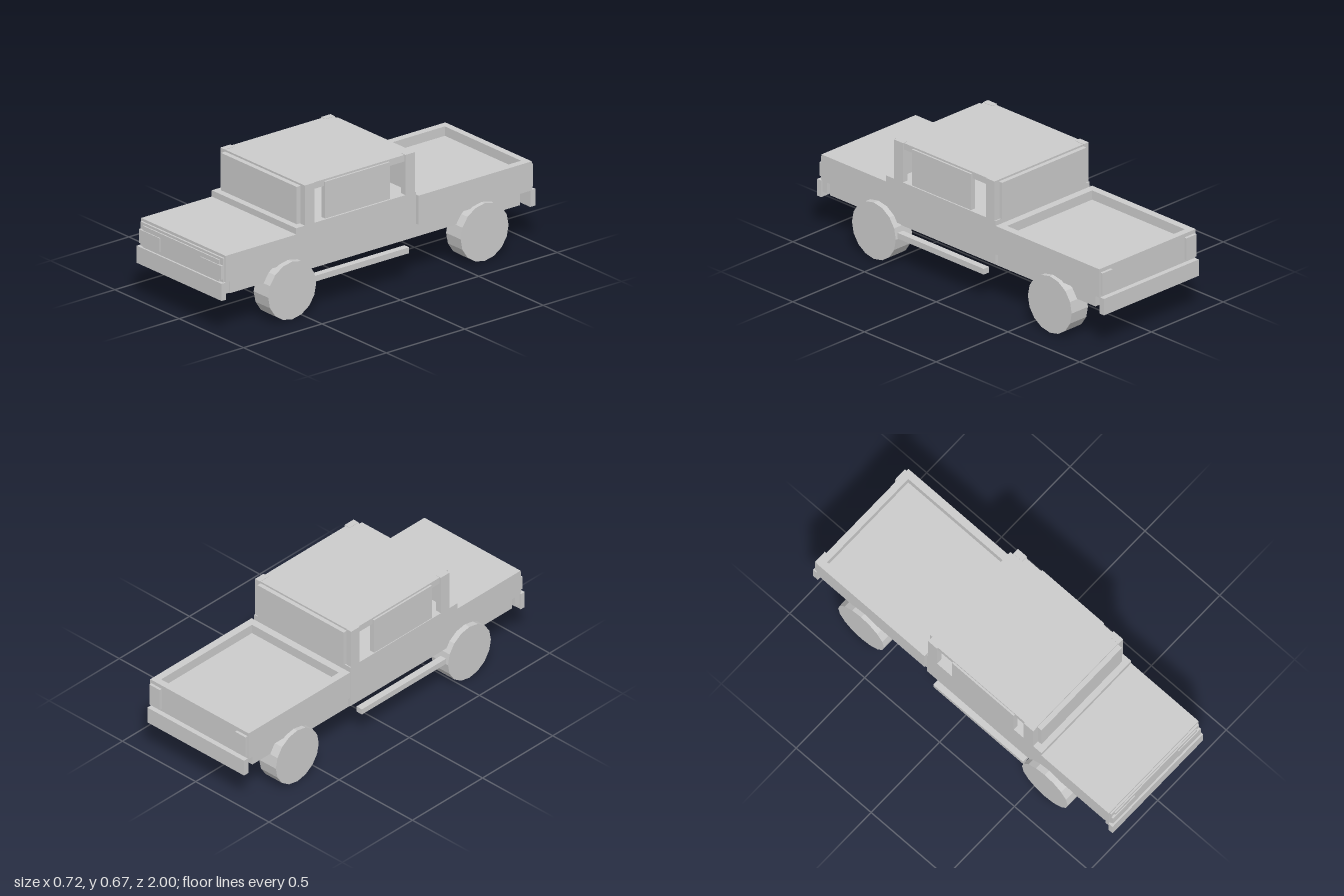
import * as THREE from 'three';

export function createModel() {
  const truck = new THREE.Group();
  truck.name = 'pickupTruck';
  const material = new THREE.MeshStandardMaterial({ color: 0xcccccc, flatShading: true });

  // Box given by its lower and upper limits on each axis
  function box(name, [x0, x1], [y0, y1], [z0, z1]) {
    const mesh = new THREE.Mesh(new THREE.BoxGeometry(x1 - x0, y1 - y0, z1 - z0), material);
    mesh.position.set((x0 + x1) / 2, (y0 + y1) / 2, (z0 + z1) / 2);
    mesh.name = name;
    truck.add(mesh);
  }
  // Box centred across the truck
  const wide = (name, half, y, z) => box(name, [-half, half], y, z);
  // Mirrored pair of boxes
  function pair(name, [x0, x1], y, z) {
    box(name + 'Left', [x0, x1], y, z);
    box(name + 'Right', [-x1, -x0], y, z);
  }

  // Lower body
  wide('chassis', 0.31, [0.213, 0.29], [-0.92, 0.93]);
  wide('hood', 0.328, [0.286, 0.427], [0.515, 0.973]);
  wide('cabBase', 0.328, [0.228, 0.46], [-0.24, 0.523]);

  // Cab top
  wide('roof', 0.32, [0.636, 0.671], [-0.23, 0.465]);
  pair('frontPillar', [0.294, 0.328], [0.46, 0.673], [0.405, 0.468]);
  pair('rearPillar', [0.294, 0.328], [0.46, 0.673], [-0.234, -0.174]);
  wide('windshield', 0.294, [0.463, 0.661], [0.455, 0.492]);
  wide('rearWindow', 0.294, [0.463, 0.661], [-0.253, -0.217]);
  pair('sideWindow', [0.302, 0.33], [0.466, 0.661], [-0.073, 0.34]);

  // Cargo bed
  wide('bedFloor', 0.3, [0.286, 0.39], [-0.94, -0.28]);
  pair('bedWall', [0.296, 0.336], [0.286, 0.44], [-0.973, -0.25]);
  wide('bedFrontWall', 0.296, [0.286, 0.44], [-0.29, -0.25]);
  wide('tailgate', 0.296, [0.286, 0.44], [-0.973, -0.937]);
  pair('tailLight', [0.257, 0.328], [0.3, 0.42], [-0.988, -0.965]);
  wide('rearBumper', 0.33, [0.197, 0.286], [-1, -0.968]);

  // Front end
  wide('frontPanel', 0.32, [0.222, 0.413], [0.942, 0.983]);
  wide('grille', 0.298, [0.286, 0.4], [0.97, 0.99]);
  pair('headlight', [0.158, 0.32], [0.303, 0.376], [0.97, 0.995]);
  wide('frontBumper', 0.33, [0.195, 0.286], [0.973, 1]);

  // Side steps
  pair('runningBoard', [0.312, 0.349], [0.157, 0.188], [-0.18, 0.42]);

  // Wheels
  const radius = 0.153;
  const wheel = new THREE.CylinderGeometry(radius, radius, 0.113, 16).rotateZ(Math.PI / 2);
  for (const [end, z] of [['front', 0.575], ['rear', -0.652]]) {
    for (const [side, s] of [['Left', 1], ['Right', -1]]) {
      const mesh = new THREE.Mesh(wheel, material);
      mesh.position.set(s * 0.3035, radius, z);
      mesh.name = end + 'Wheel' + side;
      truck.add(mesh);
    }
  }
  return truck;
}
